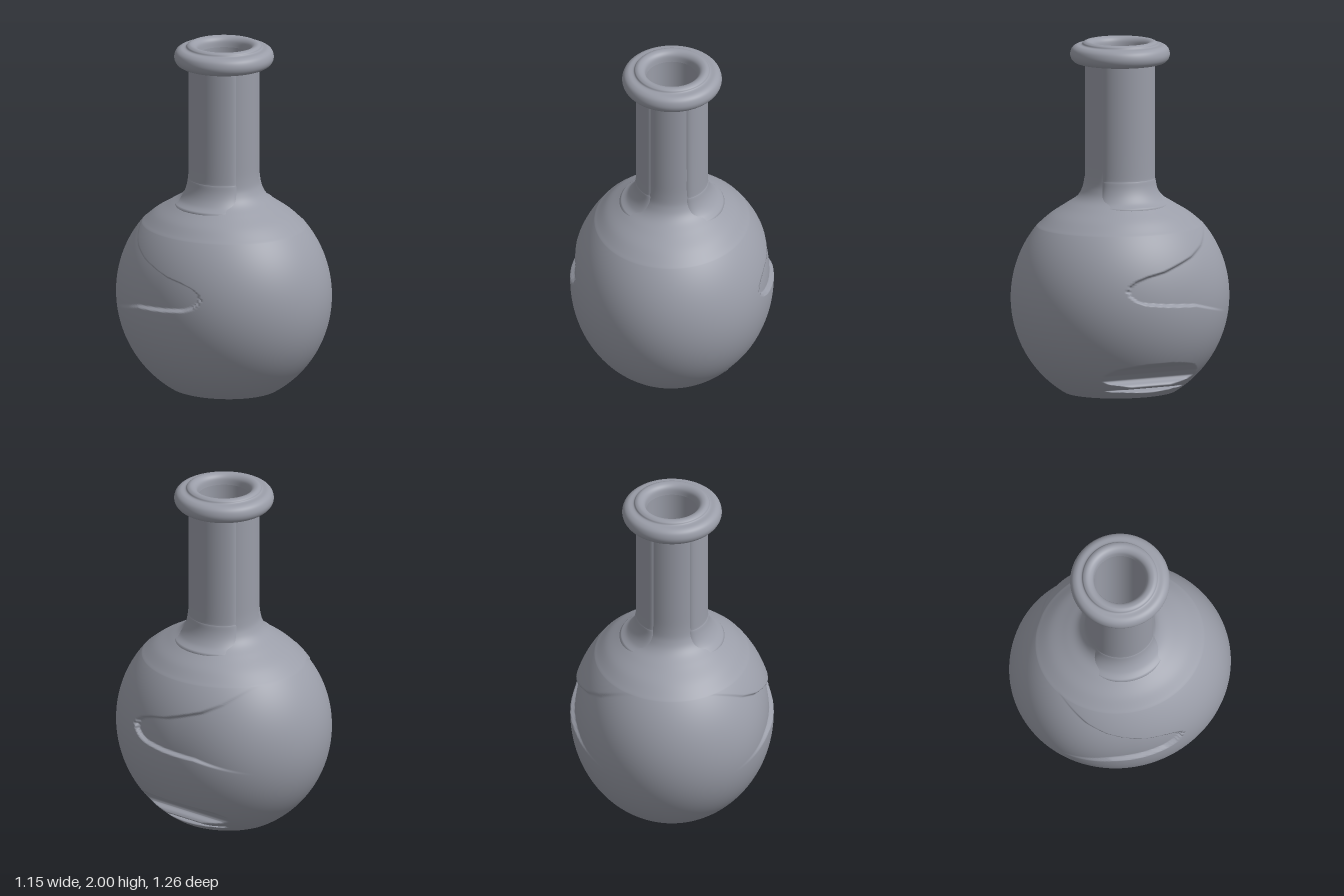
import * as THREE from 'three';
import { mergeVertices } from 'three/addons/utils/BufferGeometryUtils.js';

const smooth = THREE.MathUtils.smoothstep;
const vecs = (list) => list.map(([a, b]) => new THREE.Vector2(a, b));

// Linear lookup through [key, value] pairs with rising keys
function lookup(pairs, t) {
  if (t <= pairs[0][0]) return pairs[0][1];
  for (let i = 1; i < pairs.length; i++) {
    const [a, va] = pairs[i - 1], [b, vb] = pairs[i];
    if (t <= b) return va + ((vb - va) * (t - a)) / (b - a);
  }
  return pairs[pairs.length - 1][1];
}

// Lathe whose vertices are moved by a rule, welded and smooth shaded
function shapedLathe(points, segments, phiStart, phiLength, rule) {
  let geo = new THREE.LatheGeometry(points, segments, phiStart, phiLength);
  const pos = geo.attributes.position;
  const v = new THREE.Vector3();
  for (let i = 0; i < pos.count; i++) {
    v.fromBufferAttribute(pos, i);
    rule(v);
    pos.setXYZ(i, v.x, v.y, v.z);
  }
  geo.deleteAttribute('uv');
  geo.deleteAttribute('normal');
  geo = mergeVertices(geo, 1e-5);
  geo.computeVertexNormals();
  return geo;
}

const R = 0.63, CY = 0.54, FLAT = 0.913;

// Upper and lower edges of the side recess, as height over z
const upperEdge = [[-0.5, 1.0], [-0.4, 0.95], [-0.3, 0.87], [-0.2, 0.82], [0, 0.755], [0.1, 0.735], [0.17, 0.712], [0.21, 0.685], [0.23, 0.65]];
const lowerEdge = [[-0.5, 0.46], [-0.2, 0.54], [0, 0.555], [0.13, 0.57], [0.18, 0.588], [0.21, 0.612], [0.23, 0.65]];
// Profile of the scoop, lip and slit cut across the lower side, as x over height
const scoop = [[0, 0.34], [0.035, 0.345], [0.045, 0.33], [0.05, 0.28], [0.056, 0.28], [0.061, 0.35], [0.075, 0.372], [0.09, 0.36], [0.1, 0.335], [0.115, 0.33], [0.15, 0.36], [0.19, 0.42], [0.22, 0.49], [0.235, 0.6]];

function shapeBody(v) {
  v.x *= FLAT + (1 - FLAT) * smooth(v.y, 0.95, 1.16);
  // Tongue-shaped recess on both sides, fading out toward the back
  if (v.z < 0.23 && v.z > -0.5 && v.y < 1.0 && v.y > 0.4) {
    const inside = Math.min(lookup(upperEdge, v.z) - v.y, v.y - lookup(lowerEdge, v.z));
    const depth = 0.026 * smooth(inside, 0, 0.012) * smooth(v.z, -0.5, -0.05);
    v.x -= Math.sign(v.x) * depth * smooth(Math.abs(v.x), 0.1, 0.3);
  }
  // Scoop on one side only
  if (v.y < 0.235) v.x = Math.min(v.x, lookup(scoop, v.y));
}

export function createModel() {
  const model = new THREE.Group();
  const grey = new THREE.MeshStandardMaterial({ color: 0x9a9da8 });
  grey.name = 'grey';

  const add = (geo, name) => {
    const mesh = new THREE.Mesh(geo, grey);
    mesh.name = name;
    model.add(mesh);
    return mesh;
  };

  // Round body flowing into the neck
  const profile = [];
  const a0 = Math.asin(-CY / R), a1 = Math.asin((0.95 - CY) / R);
  for (let i = 0; i <= 190; i++) {
    const a = a0 + ((a1 - a0) * i) / 190;
    profile.push(new THREE.Vector2(R * Math.cos(a), CY + R * Math.sin(a)));
  }
  const shoulder = new THREE.SplineCurve(vecs([
    [0.478, 0.95], [0.405, 1.01], [0.315, 1.065], [0.245, 1.11], [0.21, 1.16], [0.196, 1.23], [0.194, 1.4], [0.194, 1.9],
  ]));
  profile.push(...shoulder.getPoints(40).slice(1));
  add(shapedLathe(profile, 256, 0, Math.PI * 2, shapeBody), 'bodyAndNeck');

  // Flat base
  const base = new THREE.CircleGeometry(profile[0].x, 96);
  base.rotateX(Math.PI / 2);
  base.scale(FLAT, 1, 1);
  add(base, 'base');

  // Raised panels on both sides of the neck, with flared feet
  const panelProfile = [
    ...vecs([[0.27, 1.04], [0.292, 1.055], [0.297, 1.07]]),
    ...new THREE.SplineCurve(vecs([[0.29, 1.08], [0.255, 1.105], [0.225, 1.15], [0.208, 1.21], [0.203, 1.3], [0.203, 1.9]])).getPoints(30),
  ];
  const half = THREE.MathUtils.degToRad(62);
  for (const side of [1, -1]) {
    const mid = (side * Math.PI) / 2;
    const geo = shapedLathe(panelProfile, 64, mid - half, half * 2, (v) => {
      // Round the long edges inward so they sink into the neck
      const off = Math.abs(Math.atan2(v.z, v.x * side)) / half;
      const r = Math.hypot(v.x, v.z);
      const sink = 0.02 * Math.pow(off, 14) + (r - 0.2) * 0.35 * Math.pow(off, 4);
      v.x *= 1 - sink / r;
      v.z *= 1 - sink / r;
    });
    add(geo, side > 0 ? 'leftNeckPanel' : 'rightNeckPanel');
  }

  // Rolled rim and lip
  const rim = new THREE.SplineCurve(vecs([
    [0.19, 1.885], [0.245, 1.878], [0.272, 1.895], [0.282, 1.925], [0.273, 1.958], [0.25, 1.976], [0.218, 1.981],
    [0.208, 1.993], [0.19, 2.0], [0.168, 1.994], [0.152, 1.975], [0.146, 1.94],
  ]));
  add(new THREE.LatheGeometry(rim.getPoints(60), 96), 'rim');

  // Bore of the neck with its floor
  add(new THREE.LatheGeometry(vecs([[0.146, 1.94], [0.146, 1.15]]), 96), 'neckBore');
  add(new THREE.LatheGeometry(vecs([[0.146, 1.15], [0.12, 1.125], [0.07, 1.11], [0, 1.105]]), 96), 'boreFloor');

  return model;
}
